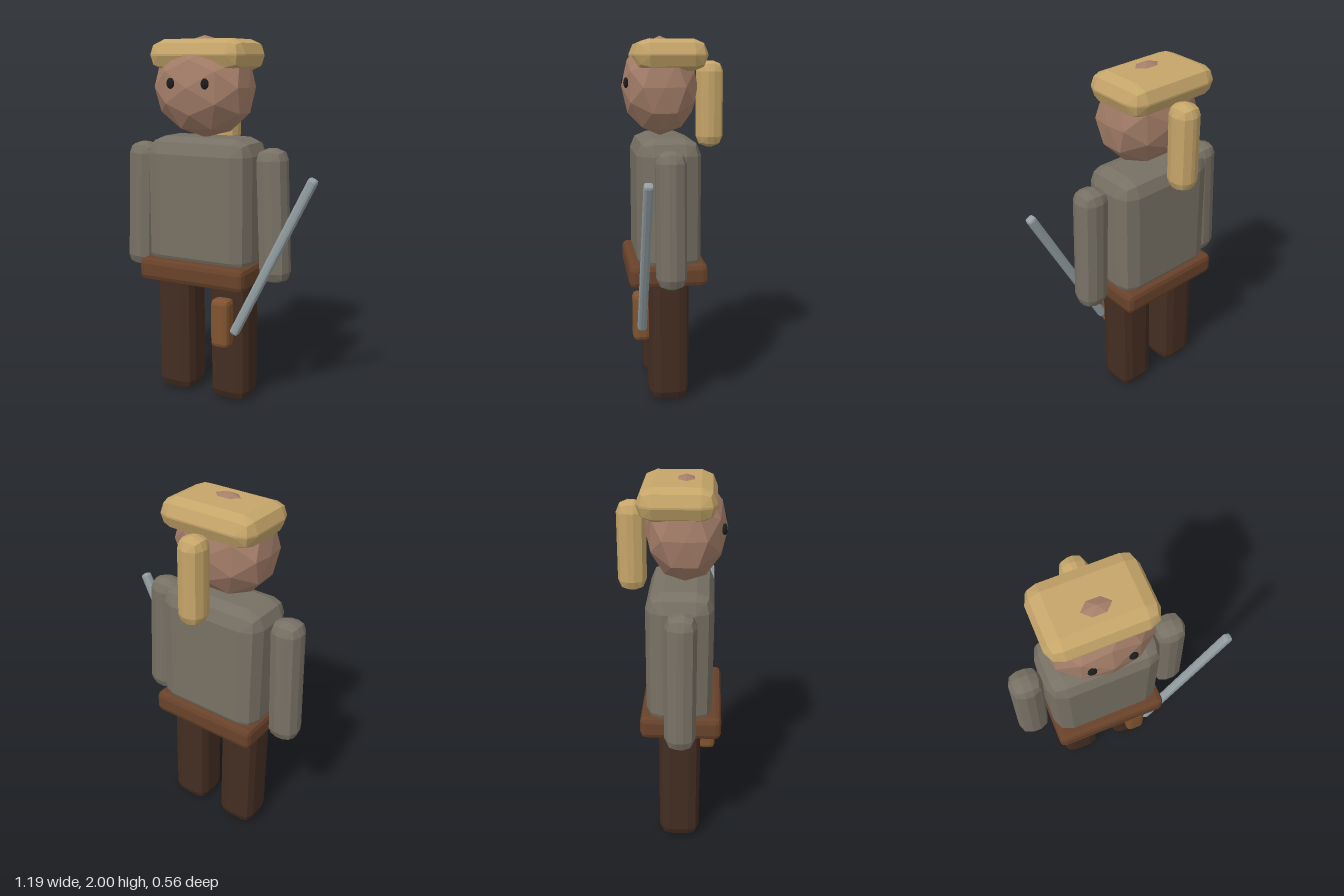
import * as THREE from 'three';
import { ConvexGeometry } from 'three/addons/geometries/ConvexGeometry.js';

const CX = -0.0975; // body centre line

// Box with a two-step bevel of radius r on every edge
function bevelBox(w, h, d, r) {
  const s = Math.SQRT1_2, k = 1 / Math.sqrt(3);
  const dirs = [[1, 0, 0], [0, 1, 0], [0, 0, 1], [s, s, 0], [s, 0, s], [0, s, s], [k, k, k]];
  const points = [];
  for (const sx of [-1, 1]) for (const sy of [-1, 1]) for (const sz of [-1, 1])
    for (const [x, y, z] of dirs)
      points.push(new THREE.Vector3(
        sx * (w / 2 - r + r * x), sy * (h / 2 - r + r * y), sz * (d / 2 - r + r * z)));
  return new ConvexGeometry(points);
}

// Faceted ball, widened and flattened at the cheeks
function headGeometry() {
  const g = new THREE.IcosahedronGeometry(1, 1).scale(0.29, 0.267, 0.21);
  const p = g.attributes.position;
  for (let i = 0; i < p.count; i++) p.setX(i, THREE.MathUtils.clamp(p.getX(i), -0.26, 0.26));
  g.computeVertexNormals();
  return g;
}

export function createModel() {
  const group = new THREE.Group();
  const mat = (color) => new THREE.MeshStandardMaterial({ color, flatShading: true });
  const cloth = mat(0x777064), trouser = mat(0x432d21), leather = mat(0x68422a);
  const straw = mat(0xc5a569), skin = mat(0xa47e69), dark = mat(0x1c1c1c);
  const wood = mat(0x80532f), steel = mat(0x949fa3);

  const add = (name, geometry, material, x, y, z, tilt = 0) => {
    const m = new THREE.Mesh(geometry, material);
    m.name = name;
    m.position.set(x, y, z);
    m.rotation.z = tilt;
    group.add(m);
    return m;
  };

  // Body
  add('torso', bevelBox(0.615, 0.74, 0.345, 0.09), cloth, CX, 1.1, 0.0475);
  add('belt', bevelBox(0.635, 0.125, 0.425, 0.03), leather, CX, 0.74, 0.0575);

  // Paired limbs and eyes
  for (const [side, label] of [[1, 'left'], [-1, 'right']]) {
    add(label + 'Leg', bevelBox(0.223, 0.75, 0.22, 0.058), trouser, CX + side * 0.168, 0.375, 0.05);
    add(label + 'Arm', bevelBox(0.168, 0.72, 0.158, 0.062), cloth,
      CX + side * 0.4025, 1.065, 0.06, side * 0.04);
    add(label + 'Eye', new THREE.SphereGeometry(1, 10, 8).scale(0.023, 0.028, 0.014), dark,
      CX + side * 0.1, 1.755, 0.261);
  }

  // Head, cap and hanging tail
  add('head', headGeometry(), skin, CX, 1.733, 0.07);
  add('cap', bevelBox(0.55, 0.165, 0.388, 0.078), straw, CX - 0.003, 1.898, 0.03);
  add('capTail', bevelBox(0.14, 0.47, 0.148, 0.058), straw, CX, 1.635, -0.206);

  // Grip and slanted blade
  add('grip', bevelBox(0.107, 0.27, 0.094, 0.025), wood, 0.067, 0.48, 0.198);
  add('blade', bevelBox(0.05, 0.98, 0.049, 0.015), steel, 0.357, 0.866, 0.2, -0.463);

  return group;
}
